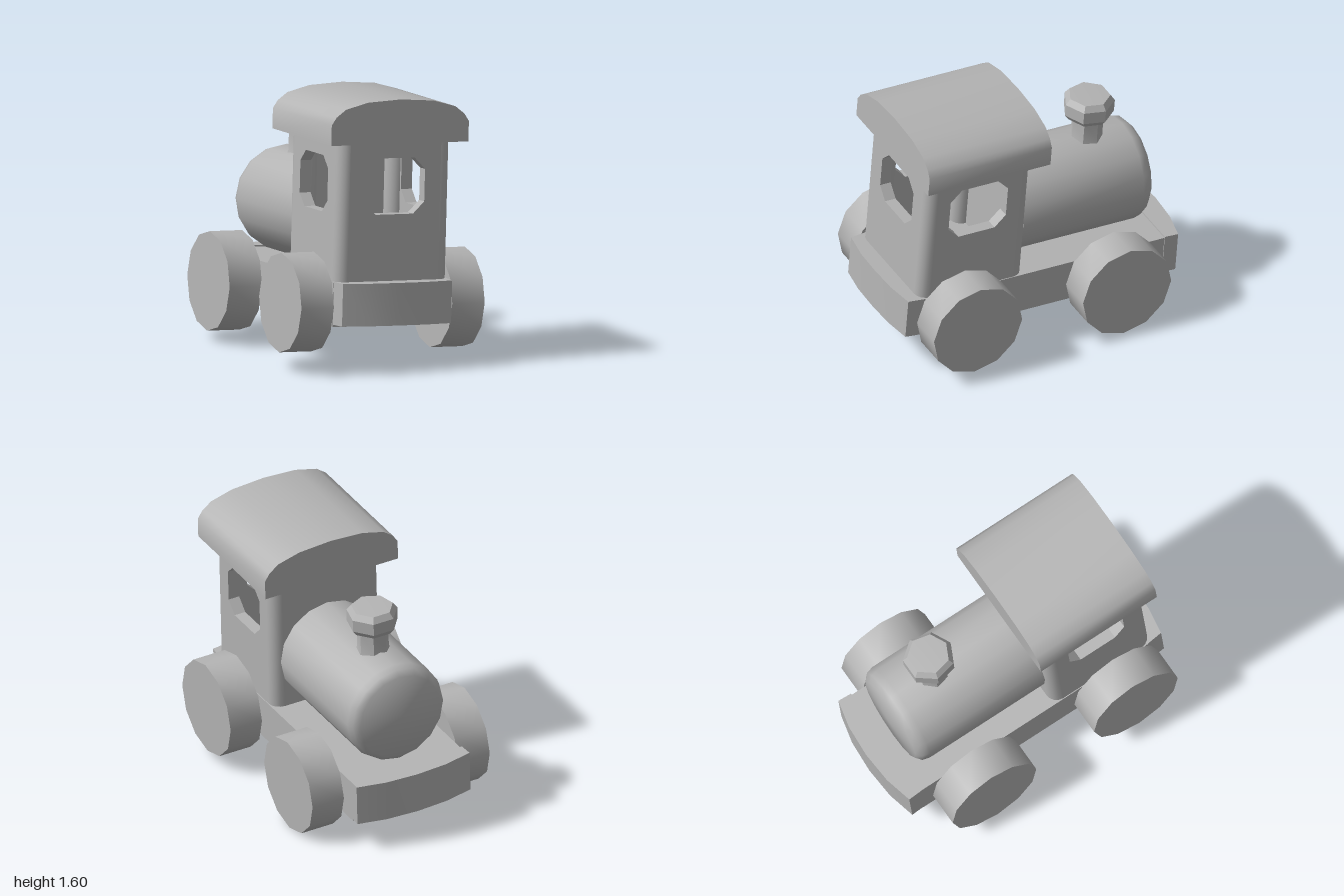
import * as THREE from 'three';
import { toCreasedNormals } from 'three/addons/utils/BufferGeometryUtils.js';

export function createModel() {
  const grey = new THREE.MeshStandardMaterial({ color: 0xb4b4b4 });
  grey.name = 'plain grey';
  const model = new THREE.Group();
  model.name = 'toyTrain';

  // The whole train stands turned and slightly tilted; its rear faces local +z
  const train = new THREE.Group();
  train.name = 'train';
  train.rotation.set(-0.05, -0.463, -0.052, 'YXZ');
  model.add(train);

  function add(name, geometry, x = 0, y = 0, z = 0, crease = 0.7) {
    const mesh = new THREE.Mesh(toCreasedNormals(geometry, crease), grey);
    mesh.name = name;
    mesh.position.set(x, y, z);
    train.add(mesh);
    return mesh;
  }
  const shapeOf = (points) => new THREE.Shape(points.map(([x, y]) => new THREE.Vector2(x, y)));
  const extrude = (shape, depth) =>
    new THREE.ExtrudeGeometry(shape, { depth, bevelEnabled: false });

  // Chassis
  add('chassis', new THREE.BoxGeometry(0.73, 0.26, 1.6), 0, 0.355, -0.04);

  // Bumpers: bowed plan outlines extruded upward
  function bumper(name, points, y) {
    const geometry = extrude(shapeOf(points), 0.25).rotateX(-Math.PI / 2);
    add(name, geometry, 0, y, 0, 0.5);
  }
  bumper('frontBumper', [
    [-0.37, 0.83], [0.37, 0.83], [0.375, 0.915], [0.2, 0.955],
    [0, 0.968], [-0.2, 0.955], [-0.375, 0.915],
  ], 0.245);
  bumper('rearBumper', [
    [-0.365, -0.74], [-0.35, -0.86], [-0.18, -0.885], [0, -0.89],
    [0.18, -0.885], [0.35, -0.86], [0.365, -0.74],
  ], 0.24);

  // Wheels
  for (const [end, z] of [['front', -0.473], ['rear', 0.515]]) {
    for (const [side, s] of [['Left', 1], ['Right', -1]]) {
      const geometry = new THREE.CylinderGeometry(0.292, 0.292, 0.208, 12);
      geometry.rotateZ(Math.PI / 2);
      add(`${end}${side}Wheel`, geometry, s * 0.484, 0.345, z);
    }
    const axle = new THREE.CylinderGeometry(0.05, 0.05, 0.8, 8).rotateZ(Math.PI / 2);
    add(`${end}Axle`, axle, 0, 0.345, z);
  }

  // Boiler with a softened front rim
  const boiler = new THREE.LatheGeometry(
    [[0, 0], [0.312, 0], [0.312, 0.8], [0.3, 0.845], [0.265, 0.875], [0, 0.89]]
      .map(([r, h]) => new THREE.Vector2(r, h)), 16);
  boiler.rotateX(-Math.PI / 2);
  add('boiler', boiler, 0, 0.79, 0.1, 0.8);

  // Chimney
  const chimney = new THREE.LatheGeometry(
    [[0, 0], [0.115, 0], [0.095, 0.07], [0.095, 0.2], [0.125, 0.2], [0.152, 0.235],
      [0.152, 0.31], [0.125, 0.345], [0, 0.35]]
      .map(([r, h]) => new THREE.Vector2(r, h)), 7);
  add('chimney', chimney, 0, 1.03, -0.46, 0.5);

  // Cab walls, with chamfered window openings
  const bottom = 0.47, top = 1.32, thick = 0.07;
  function wall(name, width, hasWindow, x, z, turn) {
    const w = width / 2;
    const shape = shapeOf([[-w, bottom], [w, bottom], [w, top], [-w, top]]);
    if (hasWindow) {
      const a = 0.19, b = 0.165, c = 0.07, y = 1.045;
      shape.holes.push(new THREE.Path([
        [-a, y - b + c], [-a, y + b - c], [-a + c, y + b], [a - c, y + b],
        [a, y + b - c], [a, y - b + c], [a - c, y - b], [-a + c, y - b],
      ].map(([px, py]) => new THREE.Vector2(px, py))));
    }
    const geometry = extrude(shape, thick).translate(0, 0, -thick / 2).rotateY(turn);
    add(name, geometry, x, 0, z, 0.4);
  }
  wall('cabRearWall', 0.58, true, 0, 0.755, 0);
  wall('cabFrontWall', 0.58, false, 0, 0.135, 0);
  for (const [side, s] of [['Left', 1], ['Right', -1]]) {
    wall(`cab${side}Wall`, 0.55, true, s * 0.325, 0.445, Math.PI / 2);
    // Rounded corner posts
    for (const [end, z] of [['Front', 0.17], ['Rear', 0.72]]) {
      add(`cab${end}${side}Post`,
        new THREE.CylinderGeometry(0.07, 0.07, top - bottom, 16),
        s * 0.29, (top + bottom) / 2, z);
    }
  }

  // Arched roof
  const half = [[0.44, 1.3], [0.44, 1.42], [0.41, 1.465], [0.35, 1.51], [0.21, 1.547]];
  const arch = [...half, [0, 1.56], ...half.map(([x, y]) => [-x, y]).reverse()];
  add('roof', extrude(shapeOf(arch), 0.81), 0, 0, 0.03, 0.7);

  return model;
}
